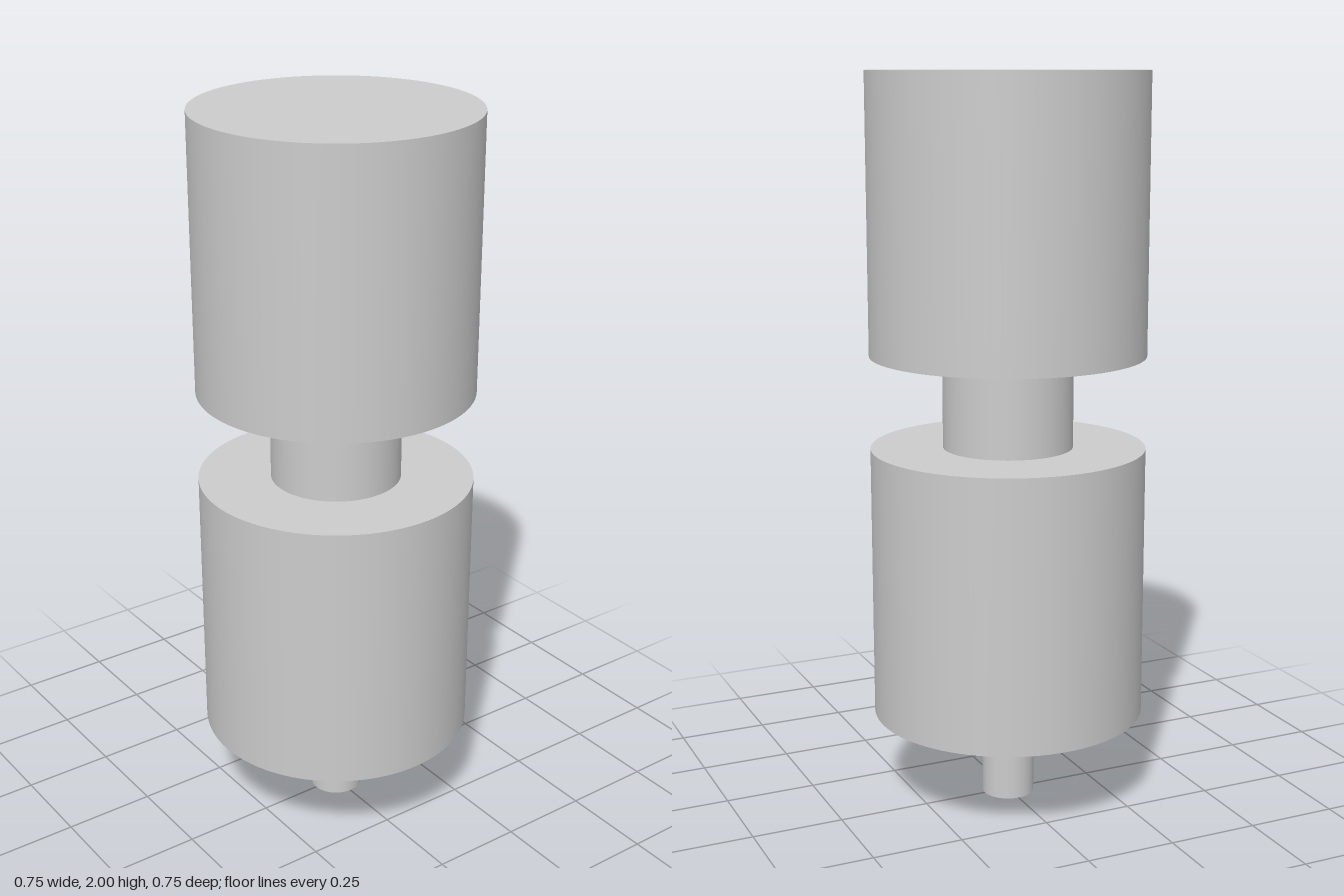
import * as THREE from 'three';

const material = new THREE.MeshStandardMaterial({ color: 0xcccccc });

// Upright capped cylinder between two heights
function drum(name, radius, bottom, top) {
  const height = top - bottom;
  const mesh = new THREE.Mesh(new THREE.CylinderGeometry(radius, radius, height, 96), material);
  mesh.name = name;
  mesh.position.y = bottom + height / 2;
  return mesh;
}

export function createModel() {
  const model = new THREE.Group();
  model.name = 'steppedShaft';
  model.add(
    drum('bottomPin', 0.072, 0, 0.253),
    drum('lowerDrum', 0.3735, 0.253, 1.0),
    drum('neck', 0.177, 1.0, 1.253),
    drum('upperDrum', 0.3735, 1.253, 2.0)
  );
  return model;
}
